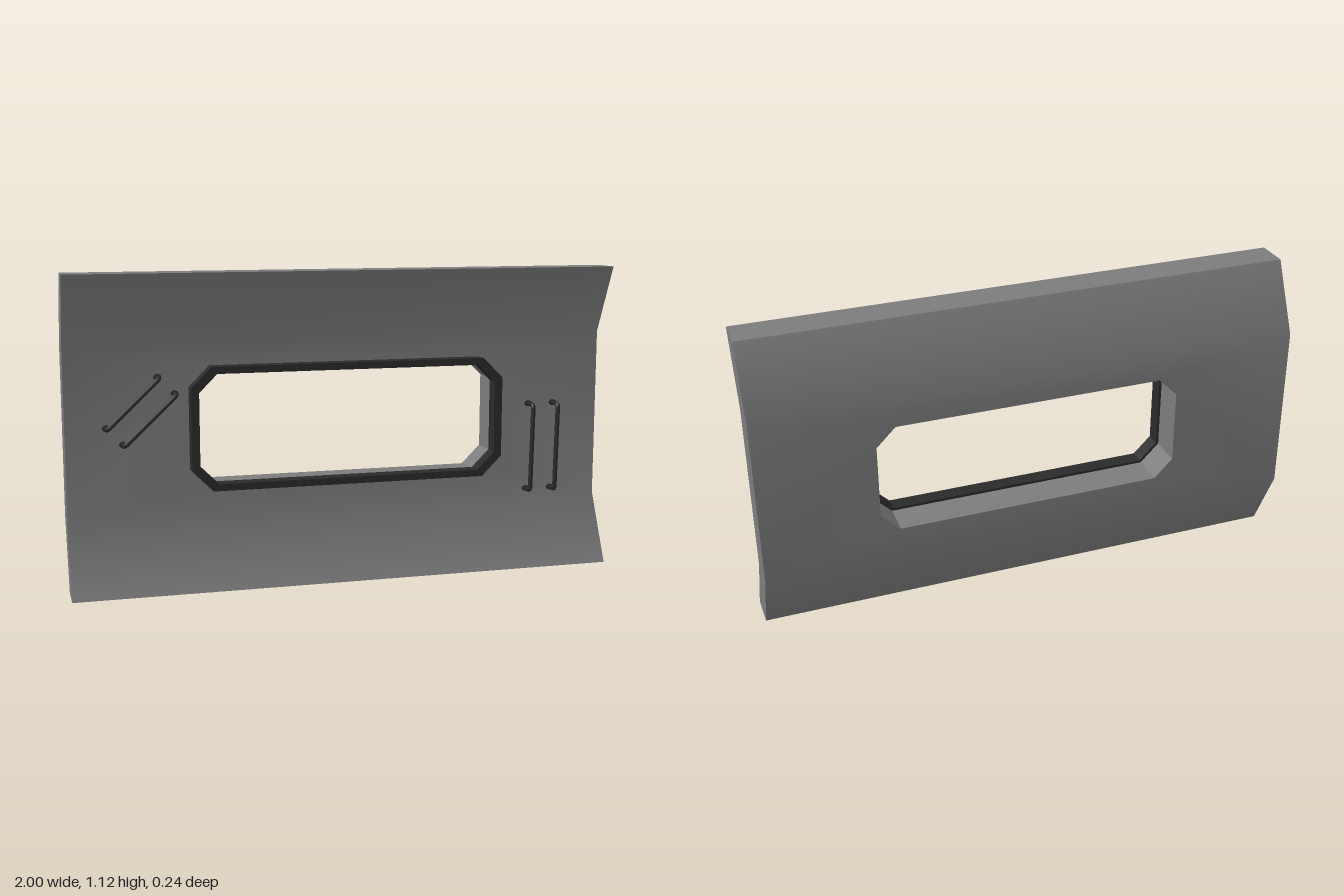
import * as THREE from 'three';
import { toCreasedNormals } from 'three/addons/utils/BufferGeometryUtils.js';

const THICK = 0.123, LOW = 0.25, HIGH = 0.875, TOP = 1.125;
const wallMat = new THREE.MeshStandardMaterial({ color: 0x7c7c7c });
const darkMat = new THREE.MeshStandardMaterial({ color: 0x2a2a2a });

// Counter-clockwise rectangle with chamfered corners, around the window centre
function octagon(hw, hh, c) {
  return [[hw, -hh + c], [hw, hh - c], [hw - c, hh], [-hw + c, hh],
    [-hw, hh - c], [-hw, -hh + c], [-hw + c, -hh], [hw - c, -hh]]
    .map(([x, y]) => new THREE.Vector2(x + 0.015, y + 0.571));
}

const rect = (y0, y1) => [[-1, y0], [1, y0], [1, y1], [-1, y1]].map(p => new THREE.Vector2(...p));

// Folded wall: flat middle, top and bottom leaning forward, window cut through
function wallGeometry() {
  const pos = [];
  const frontZ = y => 0.003 + 0.48 * Math.max(LOW - y, y - HIGH, 0);
  const put = (p, back) => pos.push(p.x, p.y, frontZ(p.y) - (back ? THICK : 0));
  const hole = octagon(0.562, 0.207, 0.07);

  // Front and back skins
  for (const [outline, holes] of [[rect(0, LOW), []], [rect(LOW, HIGH), [hole]], [rect(HIGH, TOP), []]]) {
    const pts = outline.concat(...holes);
    for (const [a, b, c] of THREE.ShapeUtils.triangulateShape(outline, holes)) {
      const flip = (pts[b].x - pts[a].x) * (pts[c].y - pts[a].y) - (pts[b].y - pts[a].y) * (pts[c].x - pts[a].x) < 0;
      const tri = flip ? [a, c, b] : [a, b, c];
      tri.forEach(i => put(pts[i], false));
      tri.reverse().forEach(i => put(pts[i], true));
    }
  }

  // Outer edges and window reveal
  const outer = [[-1, 0], [1, 0], [1, LOW], [1, HIGH], [1, TOP], [-1, TOP], [-1, HIGH], [-1, LOW]]
    .map(p => new THREE.Vector2(...p));
  for (const loop of [outer, hole.slice().reverse()]) {
    loop.forEach((p, i) => {
      const q = loop[(i + 1) % loop.length];
      put(p, true); put(q, true); put(q, false);
      put(p, true); put(q, false); put(p, false);
    });
  }
  const geo = new THREE.BufferGeometry();
  geo.setAttribute('position', new THREE.Float32BufferAttribute(pos, 3));
  return toCreasedNormals(geo, 0.6);
}

// Grab handle: rod standing off the wall, with bent ends and small feet
function handle(x0, y0, x1, y1, footZ0, footZ1) {
  const group = new THREE.Group();
  group.name = 'grabHandle';
  const z = 0.071, bend = 0.014;
  const a = new THREE.Vector3(x0, y0, z), b = new THREE.Vector3(x1, y1, z);
  const along = b.clone().sub(a).setLength(bend);
  const inward = new THREE.Vector3(0, 0, -bend);
  const footA = new THREE.Vector3(x0, y0, footZ0), footB = new THREE.Vector3(x1, y1, footZ1);
  const a0 = a.clone().add(inward), a1 = a.clone().add(along);
  const b0 = b.clone().add(inward), b1 = b.clone().sub(along);
  const path = new THREE.CurvePath();
  path.add(new THREE.LineCurve3(footA, a0));
  path.add(new THREE.QuadraticBezierCurve3(a0, a, a1));
  path.add(new THREE.LineCurve3(a1, b1));
  path.add(new THREE.QuadraticBezierCurve3(b1, b, b0));
  path.add(new THREE.LineCurve3(b0, footB));
  const rod = new THREE.Mesh(new THREE.TubeGeometry(path, 90, 0.0085, 10), darkMat);
  rod.name = 'handleRod';
  group.add(rod);
  for (const p of [footA, footB]) {
    const foot = new THREE.Mesh(new THREE.CylinderGeometry(0.0135, 0.0135, 0.015, 12).rotateX(Math.PI / 2), darkMat);
    foot.name = 'handleFoot';
    foot.scale.y = 0.8;
    foot.position.copy(p);
    foot.position.z += 0.0075;
    group.add(foot);
  }
  return group;
}

export function createModel() {
  const model = new THREE.Group();
  model.name = 'wallPanel';

  const wall = new THREE.Mesh(wallGeometry(), wallMat);
  wall.name = 'wall';
  model.add(wall);

  // Window frame standing proud of the front
  const ring = new THREE.Shape(octagon(0.581, 0.222, 0.075));
  ring.holes.push(new THREE.Path(octagon(0.552, 0.197, 0.065)));
  const frame = new THREE.Mesh(new THREE.ExtrudeGeometry(ring, { depth: 0.055, bevelEnabled: false }), darkMat);
  frame.name = 'windowFrame';
  frame.position.z = 0.003;
  model.add(frame);

  // Slanted pair on one side, upright pair on the other
  model.add(handle(-0.86, 0.587, -0.677, 0.76, 0.022, 0.014));
  model.add(handle(-0.802, 0.527, -0.618, 0.7, 0.022, 0.014));
  model.add(handle(0.711, 0.286, 0.717, 0.611, 0.022, 0.014));
  model.add(handle(0.81, 0.286, 0.816, 0.611, 0.022, 0.014));
  return model;
}
